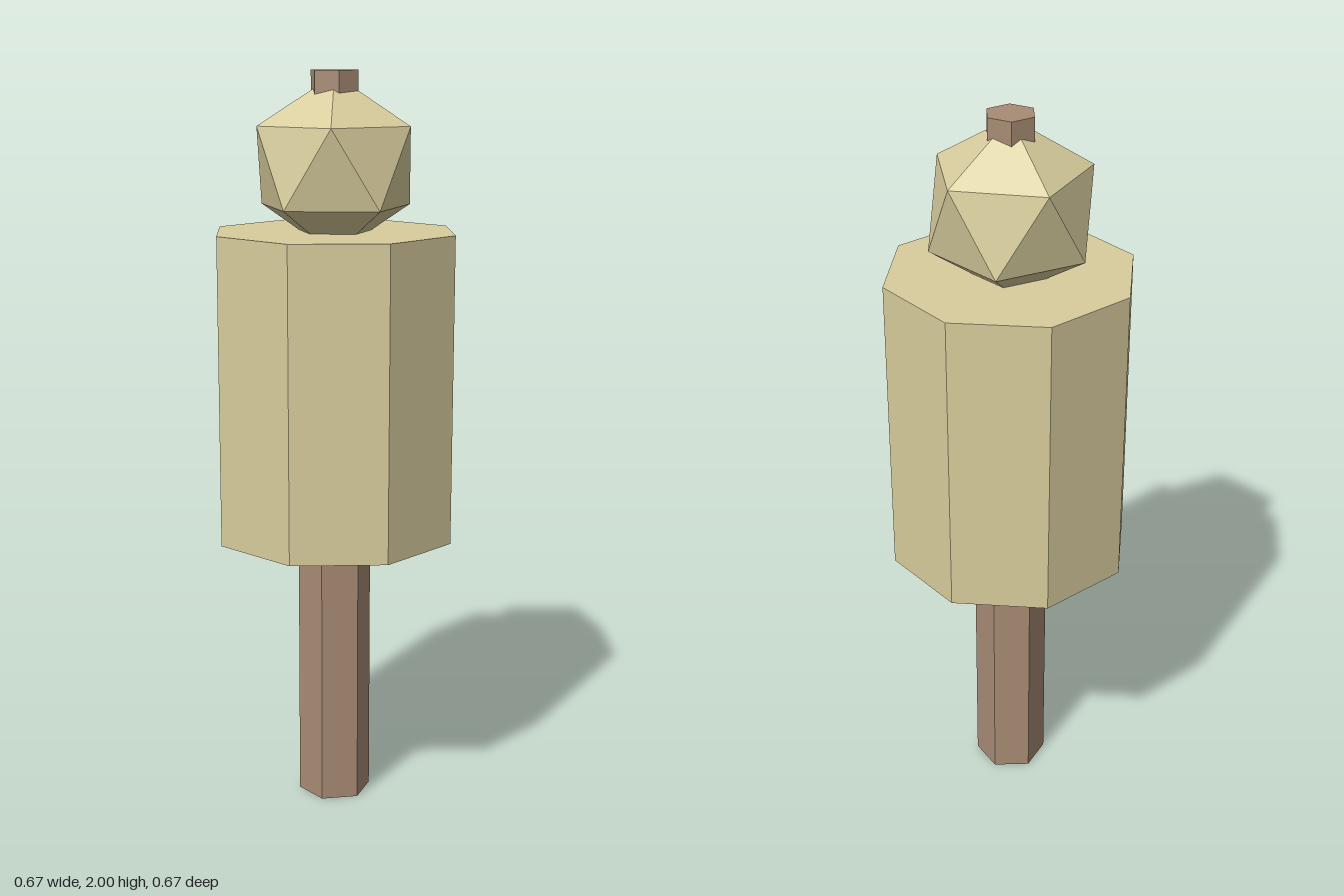
import * as THREE from 'three';

const straw = new THREE.MeshStandardMaterial({ color: 0xd8cd9d, flatShading: true });
straw.name = 'straw';
const wood = new THREE.MeshStandardMaterial({ color: 0xa88c74, flatShading: true });
wood.name = 'wood';

export function createModel() {
  const model = new THREE.Group();
  model.name = 'strawDummy';

  // Upright prism between two heights
  function prism(name, radius, sides, bottom, top, material, turn = 0) {
    const geometry = new THREE.CylinderGeometry(radius, radius, top - bottom, sides);
    const mesh = new THREE.Mesh(geometry, material);
    mesh.name = name;
    mesh.position.y = (bottom + top) / 2;
    mesh.rotation.y = turn;
    model.add(mesh);
  }

  prism('post', 0.1, 6, 0, 0.8, wood);
  prism('body', 0.333, 8, 0.757, 1.585, straw);
  prism('topPeg', 0.066, 6, 1.85, 2, wood, Math.PI / 6);

  // Faceted head, tipped so one corner points straight up
  const headGeometry = new THREE.IcosahedronGeometry(0.233, 0);
  headGeometry.rotateZ(-Math.atan2(1, (1 + Math.sqrt(5)) / 2));
  const head = new THREE.Mesh(headGeometry, straw);
  head.name = 'head';
  head.position.y = 1.755;
  model.add(head);

  return model;
}
